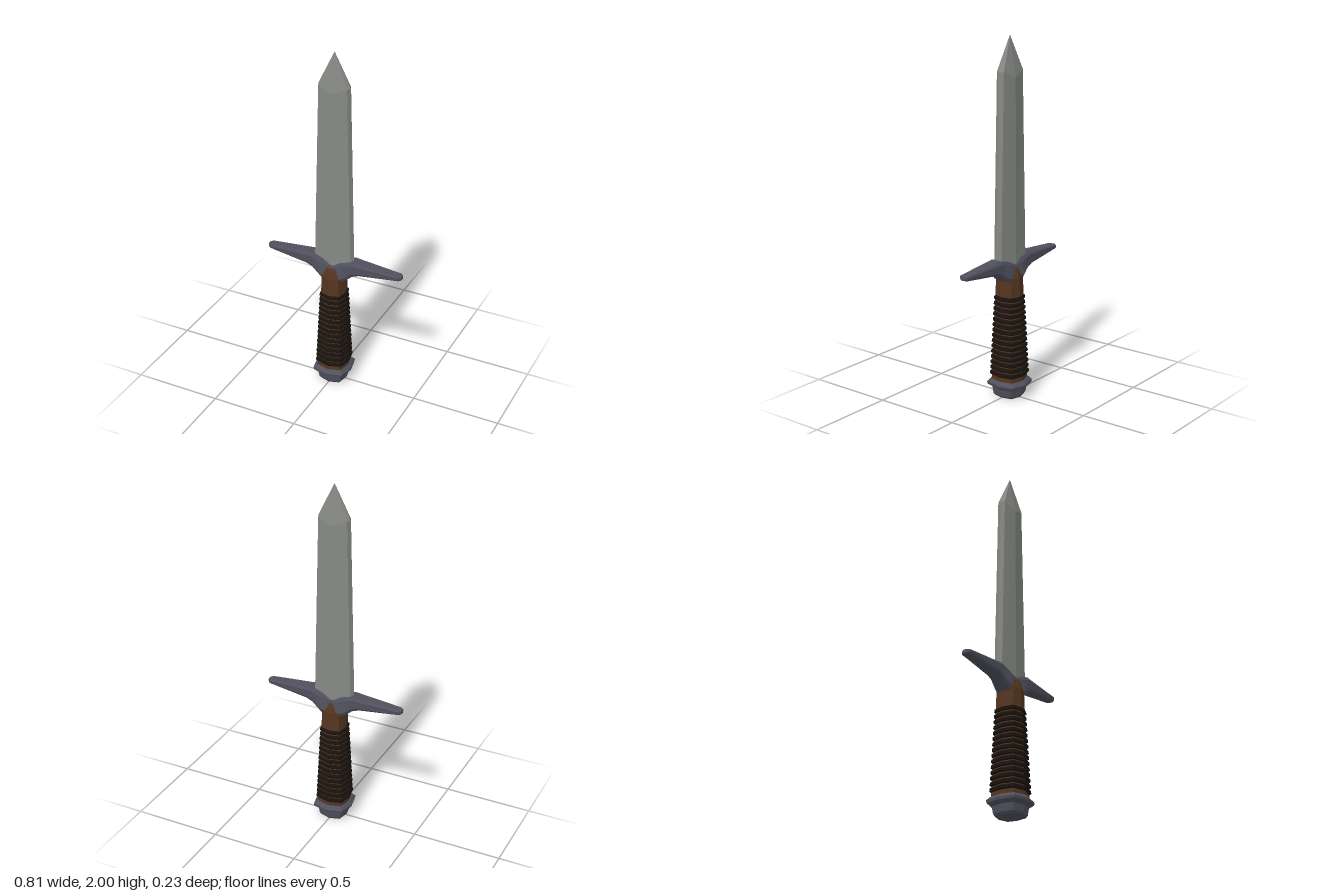
import * as THREE from 'three';

const mat = (color) => new THREE.MeshStandardMaterial({
  color, flatShading: true, roughness: 0.8,
});

// Flat-shaded skin over a series of rings; each ring runs counter-clockwise seen from the far end.
function loft(rings) {
  const pos = [];
  const tri = (a, b, c) => pos.push(...a, ...b, ...c);
  const n = rings[0].length;
  for (let i = 0; i < rings.length - 1; i++) {
    for (let j = 0; j < n; j++) {
      const k = (j + 1) % n;
      const [a, b, c, d] = [rings[i][j], rings[i][k], rings[i + 1][k], rings[i + 1][j]];
      tri(a, b, c);
      tri(a, c, d);
    }
  }
  const first = rings[0], last = rings[rings.length - 1];
  for (let j = 1; j < n - 1; j++) {
    tri(first[0], first[j + 1], first[j]);
    tri(last[0], last[j], last[j + 1]);
  }
  const geo = new THREE.BufferGeometry();
  geo.setAttribute('position', new THREE.Float32BufferAttribute(pos, 3));
  geo.computeVertexNormals();
  return geo;
}

// Eight-sided handle ring with ridges facing front, back and both sides.
function handleRing(y, rx, rz) {
  const dx = rx * 0.82, dz = rz * 0.77;
  return [[0, rz], [dx, dz], [rx, 0], [dx, -dz], [0, -rz], [-dx, -dz], [-rx, 0], [-dx, dz]]
    .map(([x, z]) => [x, y, z]);
}

// Blade section: central ridge, wide faces and narrow bevels to the cutting edges.
function bladeRing(yEdge, yRidge, w, d, bevel) {
  const f = w - bevel, g = d * 0.6;
  return [
    [0, yRidge, d], [f, yEdge, g], [w, yEdge, 0], [f, yEdge, -g],
    [0, yRidge, -d], [-f, yEdge, -g], [-w, yEdge, 0], [-f, yEdge, g],
  ];
}

// Guard section at x: top and bottom heights, half depth above and below.
function guardRing(x, top, bottom, wTop, wBottom) {
  const c = (top - bottom) * 0.2;
  const half = [[top, wTop * 0.75], [top - c, wTop], [bottom + c, wBottom], [bottom, wBottom * 0.75]];
  const back = half.map(([y, z]) => [y, -z]).reverse();
  return [...half, ...back].map(([y, z]) => [x, y, z]);
}

export function createModel() {
  const group = new THREE.Group();
  const add = (name, geo, material, parent = group) => {
    const mesh = new THREE.Mesh(geo, material);
    mesh.name = name;
    parent.add(mesh);
    return mesh;
  };
  const steel = mat(0x868984), iron = mat(0x50505e);
  const leather = mat(0x55351f), cord = mat(0x19130e);

  // Blade
  add('blade', loft([
    bladeRing(0.77, 0.765, 0.12, 0.04, 0.012),
    bladeRing(1.815, 1.78, 0.092, 0.038, 0.01),
    bladeRing(2, 2, 0.0008, 0.0008, 0.0002),
  ]), steel).position.z = -0.003;

  // Crossguard, swept from one tip to the other
  const arm = [
    [0, 0.775, 0.68, 0.042, 0.05],
    [0.058, 0.79, 0.672, 0.043, 0.055],
    [0.09, 0.798, 0.692, 0.043, 0.046],
    [0.12, 0.806, 0.718, 0.042, 0.042],
    [0.16, 0.802, 0.734, 0.041, 0.041],
    [0.39, 0.786, 0.76, 0.029, 0.027],
    [0.405, 0.783, 0.763, 0.013, 0.012],
  ];
  const mirrored = arm.slice(1).reverse().map(([x, ...rest]) => [-x, ...rest]);
  add('crossguard', loft([...mirrored, ...arm].map((s) => guardRing(...s))), iron)
    .position.z = -0.003;

  // Grip, narrowing into the guard
  add('grip', loft([
    handleRing(0.09, 0.088, 0.091),
    handleRing(0.6, 0.066, 0.071),
    handleRing(0.69, 0.064, 0.068),
    handleRing(0.745, 0.056, 0.049),
  ]), leather);

  // Cord wrapped round the grip
  const wraps = new THREE.Group();
  wraps.name = 'gripWrapping';
  group.add(wraps);
  const count = 15, start = 0.125, step = (0.59 - start) / count;
  for (let i = 0; i < count; i++) {
    const y = start + i * step, h = step * 0.8;
    const r = 0.096 - 0.021 * (i / (count - 1));
    add('wrap' + (i + 1), loft([
      handleRing(y, r - 0.006, r - 0.002),
      handleRing(y + h * 0.2, r, r + 0.003),
      handleRing(y + h * 0.8, r - 0.001, r + 0.002),
      handleRing(y + h, r - 0.007, r - 0.003),
    ]), cord, wraps);
  }

  // Pommel with a flared collar
  add('pommel', loft([
    [0, 0.07, 0.073], [0.012, 0.079, 0.081], [0.052, 0.085, 0.087],
    [0.068, 0.106, 0.113], [0.082, 0.109, 0.116], [0.1, 0.093, 0.097],
  ].map((s) => handleRing(...s))), iron);

  return group;
}
